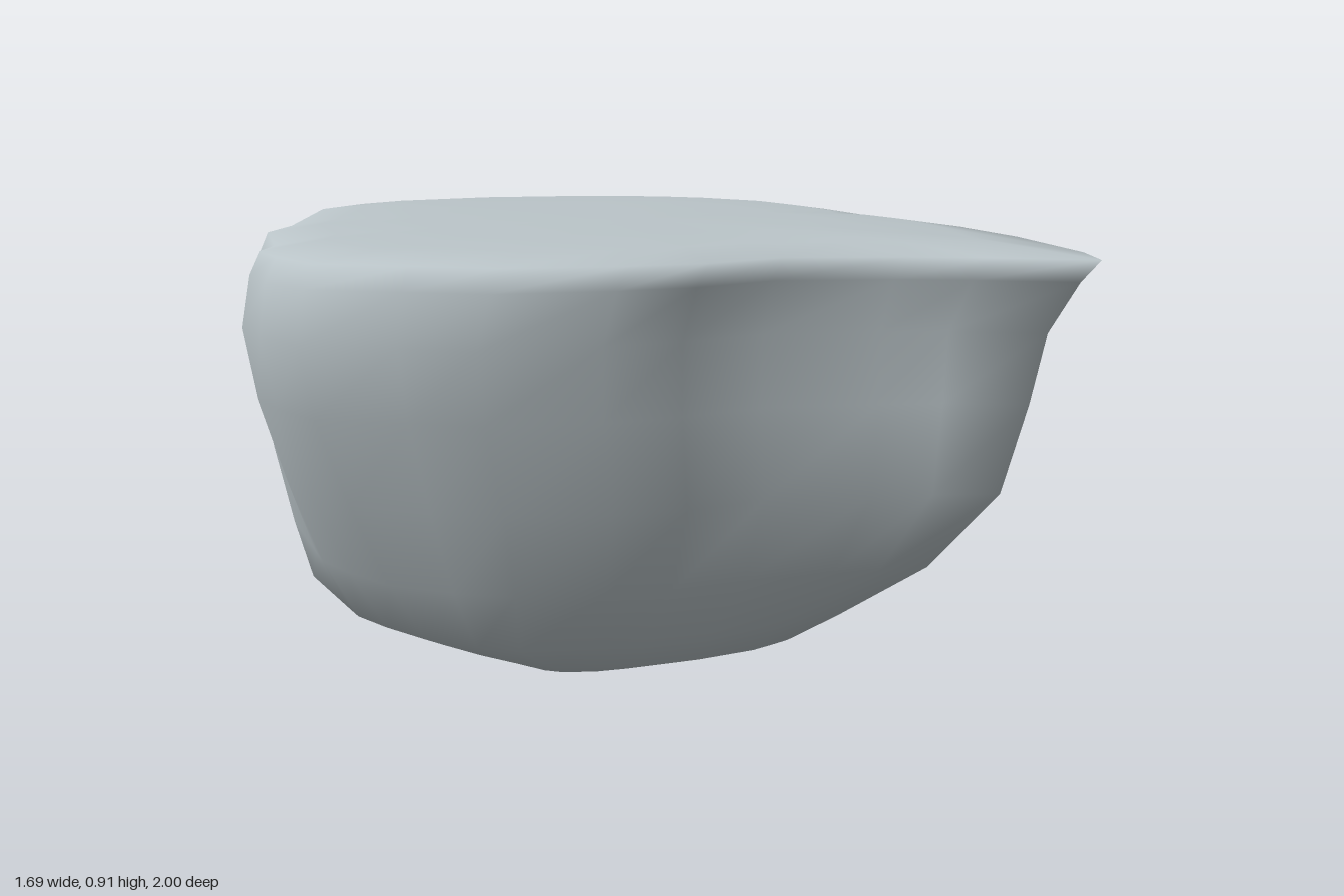
import * as THREE from 'three';

// Plan outline of the boulder (x, z), clockwise from the back, with a beak at the front
const OUTLINE = [
  [0.2, -1], [0.45, -0.87], [0.68, -0.66], [0.8, -0.47], [0.84, -0.33], [0.84, -0.13],
  [0.77, 0.03], [0.67, 0.2], [0.58, 0.27], [0.59, 0.37], [0.54, 0.5], [0.41, 0.69],
  [0.2, 0.92], [0.09, 1], [0, 0.82], [-0.08, 0.69], [-0.23, 0.51], [-0.4, 0.45],
  [-0.53, 0.36], [-0.7, 0.2], [-0.77, 0.05], [-0.85, -0.12], [-0.81, -0.26],
  [-0.75, -0.37], [-0.66, -0.42], [-0.47, -0.64], [-0.33, -0.71], [0.03, -0.97],
];

// Cross-sections from top to bottom: y, reach to -x, +x, -z, +z, and how far the plan turns into the base shape
const LEVELS = [
  [0.912, 0, 0, 0, 0, 0],
  [0.91, 0.4, 0.42, 0.5, 0.4, 0.3],
  [0.902, 0.66, 0.66, 0.8, 0.76, 0.1],
  [0.884, 0.81, 0.81, 0.965, 1, 0],
  [0.84, 0.835, 0.84, 0.985, 0.96, 0],
  [0.74, 0.85, 0.84, 1, 0.9, 0.05],
  [0.6, 0.82, 0.82, 0.96, 0.87, 0.12],
  [0.42, 0.74, 0.78, 0.92, 0.82, 0.25],
  [0.25, 0.65, 0.73, 0.87, 0.67, 0.42],
  [0.12, 0.56, 0.58, 0.79, 0.48, 0.65],
  [0.05, 0.41, 0.44, 0.69, 0.37, 0.85],
  [0.012, 0.32, 0.34, 0.52, 0.22, 1],
  [0, 0, 0, 0, 0, 1],
];

// The base is an oval whose four corners are filled out or cut flat
function baseRadius(u, v) {
  const corner = u > 0 ? (v > 0 ? 0.08 : 0.16) : (v > 0 ? -0.08 : 0.1);
  return 1 + corner * Math.sin(2 * Math.atan2(v, u)) ** 2;
}

function boulderGeometry() {
  const positions = [], index = [], n = OUTLINE.length, last = LEVELS.length - 1;
  LEVELS.forEach(([y, left, right, back, front, base], row) => {
    OUTLINE.forEach(([x, z], i) => {
      // Normalise the outline, blend it towards the base shape, then scale to the level
      const u = x / (x < 0 ? 0.85 : 0.84), v = z, r = Math.hypot(u, v);
      // Shallow weathering on the flanks only
      const dent = row > 4 && row < 10 && r < 0.93 ? 0.012 * Math.sin(i * 1.9 + row * 1.3) : 0;
      const s = THREE.MathUtils.lerp(1, baseRadius(u, v) / r, base) - dent;
      positions.push(u * s * (x < 0 ? left : right), y, v * s * (z < 0 ? back : front));
      if (row < last) {
        const a = row * n + i, b = row * n + (i + 1) % n;
        if (row > 0) index.push(a, b, b + n);
        if (row < last - 1) index.push(a, b + n, a + n);
      }
    });
  });
  const geometry = new THREE.BufferGeometry();
  geometry.setAttribute('position', new THREE.Float32BufferAttribute(positions, 3));
  geometry.setIndex(index);
  geometry.computeVertexNormals();
  return geometry;
}

export function createModel() {
  const stone = new THREE.MeshStandardMaterial({ color: 0xbbc5c9 });
  stone.name = 'grey stone';
  const boulder = new THREE.Mesh(boulderGeometry(), stone);
  boulder.name = 'boulder';
  const group = new THREE.Group();
  group.name = 'flatToppedRock';
  group.add(boulder);
  return group;
}
